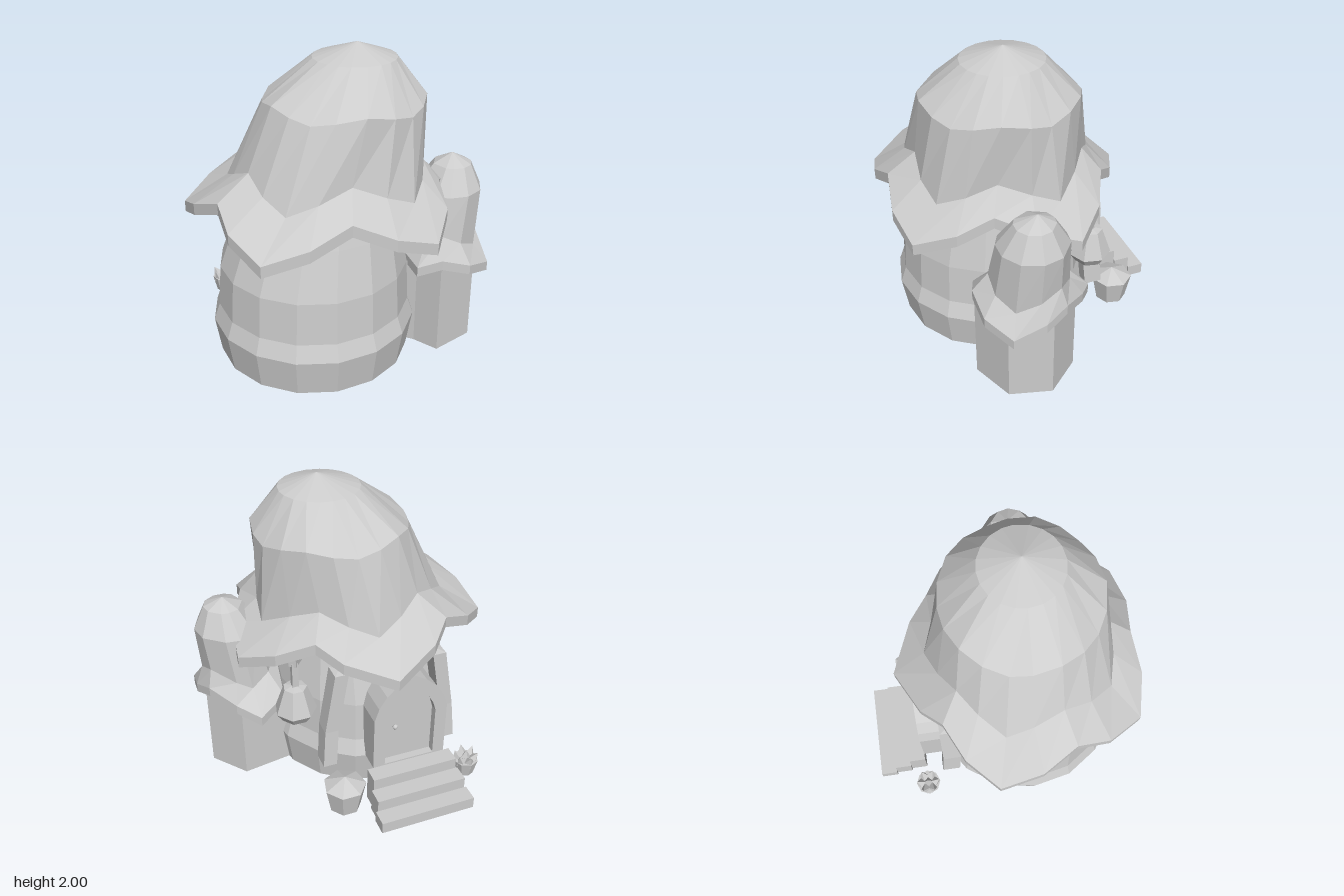
import * as THREE from 'three';

const clay = new THREE.MeshStandardMaterial({ color: 0xcccccc, flatShading: true, side: THREE.DoubleSide });
clay.name = 'pale grey';

// Skin between rings of [x, y, z] points (counter-clockwise from above, listed along the surface).
function loft(rings) {
  const pos = [];
  for (let r = 0; r < rings.length - 1; r++) {
    const A = rings[r], B = rings[r + 1], n = Math.max(A.length, B.length);
    for (let i = 0; i < n; i++) {
      const a = A[i % A.length], b = A[(i + 1) % A.length];
      const c = B[(i + 1) % B.length], d = B[i % B.length];
      if (A.length > 1) pos.push(...a, ...b, ...c);
      if (B.length > 1) pos.push(...a, ...c, ...d);
    }
  }
  const g = new THREE.BufferGeometry();
  g.setAttribute('position', new THREE.Float32BufferAttribute(pos, 3));
  g.computeVertexNormals();
  return g;
}

// Full ring from a half ring [dx, z, y], mirrored about x = cx.
function mirrored(half, cx) {
  const side = half.map(([x, z, y]) => [cx + x, y, z]);
  const other = half.slice(1, -1).reverse().map(([x, z, y]) => [cx - x, y, z]);
  return [...side, ...other];
}

// Circle through the given angles, measured from +z towards +x.
const circle = (angles, cx, cz, r, y) =>
  angles.map(a => [cx + r * Math.sin(a), y, cz + r * Math.cos(a)]);
const anglesOf = (ring, ox, oz) => ring.map(([x, , z]) => Math.atan2(x - ox, z - oz));

const raise = (ring, dy) => ring.map(([x, y, z]) => [x, y + dy, z]);
const shrink = (ring, cx, cz, s) => ring.map(([x, y, z]) => [cx + (x - cx) * s, y, cz + (z - cz) * s]);

// Rectangle ring, counter-clockwise from above.
const rect = (x, y, z, w, d) => [[-1, 1], [1, 1], [1, -1], [-1, -1]]
  .map(([i, j]) => [x + i * w / 2, y, z + j * d / 2]);

// Pointed arch outline standing on y = y0.
function arch(ShapeType, w, spring, h, y0 = 0) {
  const s = new ShapeType();
  s.moveTo(-w, y0);
  s.lineTo(w, y0);
  s.lineTo(w, spring);
  s.quadraticCurveTo(w * 0.85, spring + (h - spring) * 0.65, 0, h);
  s.quadraticCurveTo(-w * 0.85, spring + (h - spring) * 0.65, -w, spring);
  return s;
}

export function createModel() {
  const model = new THREE.Group();
  const add = (name, geometry, x = 0, y = 0, z = 0, parent = model) => {
    const m = new THREE.Mesh(geometry, clay);
    m.name = name;
    m.position.set(x, y, z);
    parent.add(m);
    return m;
  };
  const lathe = (pts, sides) => new THREE.LatheGeometry(pts.map(p => new THREE.Vector2(...p)), sides);

  // Round house wall with a bulging plinth, open below
  const sixteen = Array.from({ length: 16 }, (_, i) => i * Math.PI / 8);
  add('houseWall', loft([[-0.183, 0.617, 0], [-0.183, 0.655, 0.24], [-0.183, 0.617, 0.35],
    [-0.18, 0.6, 0.62], [-0.15, 0.52, 0.92], [-0.13, 0.46, 1.12]]
    .map(([cx, r, y]) => circle(sixteen, cx, 0.178, r, y))));

  // Main roof: wavy eave with a flatter soffit, skirt and leaning dome
  const eave = mirrored([[0, 0.86, 1.09], [0.25, 0.9, 0.985], [0.515, 0.85, 0.9], [0.655, 0.62, 1.0],
    [0.68, 0.4, 1.09], [0.8, 0.18, 1.0], [0.835, -0.09, 0.9], [0.65, -0.28, 0.99],
    [0.43, -0.39, 1.09], [0.3, -0.52, 1.0], [0, -0.665, 0.9]], -0.115);
  const soffit = shrink(eave, -0.15, 0.17, 0.7).map(([x, y, z]) => [x, 0.9 + (y - 0.9) * 0.65, z]);
  const waist = mirrored([[0, 0.69, 1.31], [0.2, 0.71, 1.23], [0.38, 0.67, 1.16], [0.48, 0.52, 1.23],
    [0.53, 0.34, 1.31], [0.59, 0.15, 1.23], [0.61, -0.02, 1.16], [0.47, -0.17, 1.25],
    [0.32, -0.28, 1.31], [0.17, -0.38, 1.23], [0, -0.45, 1.16]], -0.07);
  const roofAngles = anglesOf(waist, -0.07, 0.165);
  const shoulder = circle(roofAngles, 0.02, 0.168, 0.495, 1.67)
    .map(([x, y, z], i) => [x, y + (waist[i][1] - 1.23) * 0.35, z]);
  add('mainRoof', loft([soffit, eave, raise(eave, 0.073), waist, shoulder,
    circle(roofAngles, 0.085, 0.17, 0.255, 1.915), [[0.1, 2, 0.17]]]));

  // Side tower wall, open below
  const plan = [[0.56, 0.54], [0.83, 0.42], [0.9, 0.155], [0.72, -0.06], [0.35, 0], [0.22, 0.22], [0.45, 0.4]];
  const level = y => plan.map(([x, z]) => [x, y, z]);
  add('towerWall', loft([level(0), level(0.59)]));

  // Side tower roof
  const towerEave = [[0.415, 0.55, 0.5], [0.56, 0.605, 0.55], [0.755, 0.54, 0.54], [0.93, 0.478, 0.42],
    [0.945, 0.55, 0.22], [0.89, 0.605, 0.07], [0.755, 0.54, -0.09], [0.62, 0.478, -0.19],
    [0.44, 0.55, -0.1], [0.38, 0.58, 0.2]];
  const towerAngles = anglesOf(towerEave, 0.66, 0.2);
  const towerWaist = circle(towerAngles, 0.65, 0.22, 0.245, 0.185)
    .map(([x, y, z], i) => [x, towerEave[i][1] + y, z]);
  add('towerRoof', loft([shrink(towerEave, 0.64, 0.2, 0.7), towerEave, raise(towerEave, 0.063),
    towerWaist, circle(towerAngles, 0.7, 0.215, 0.22, 1.035),
    circle(towerAngles, 0.725, 0.215, 0.125, 1.19), [[0.73, 1.25, 0.2]]]));

  // Back entrance: pointed frame, door and knob
  const entrance = new THREE.Group();
  entrance.name = 'entrance';
  entrance.position.set(-0.25, 0.24, -0.57);
  model.add(entrance);
  const frame = arch(THREE.Shape, 0.25, 0.38, 0.68);
  frame.holes.push(arch(THREE.Path, 0.17, 0.36, 0.58, 0.01));
  const extrude = (shape, depth) =>
    new THREE.ExtrudeGeometry(shape, { depth, bevelEnabled: false, curveSegments: 4 });
  add('doorFrame', extrude(frame, 0.24), 0, 0, 0, entrance);
  add('door', extrude(arch(THREE.Shape, 0.18, 0.36, 0.59), 0.03), 0, 0, 0.05, entrance);
  add('doorKnob', new THREE.IcosahedronGeometry(0.018, 1), 0.09, 0.27, 0.035, entrance);

  // Three steps, hollow below
  for (let i = 0; i < 3; i++) {
    const box = y => rect(-0.25, y, -0.845 + 0.11 * i, 0.64 - 0.03 * i, 0.11);
    const h = 0.08 * (i + 1);
    add('step', loft([box(0), box(h), [[-0.25, h, -0.845 + 0.11 * i]]]));
  }

  // Bent timbers leaning against the wall either side of the door
  for (const s of [-1, 1]) {
    const at = (d, y, z) => rect(-0.17 + s * d, y, z, 0.09, 0.12);
    const end = (d, y, z) => [[-0.17 + s * d, y, z]];
    add('timberPost', loft([end(0.42, 0.24, -0.39), at(0.42, 0.24, -0.39), at(0.4, 0.5, -0.37),
      at(0.33, 0.92, -0.365), end(0.33, 0.93, -0.365)]));
  }

  // Hanging lantern with a sloping cover
  const lantern = new THREE.Group();
  lantern.name = 'lantern';
  lantern.position.set(0.42, 0, -0.285);
  model.add(lantern);
  add('lanternBody', lathe([[0, 0.58], [0.095, 0.58], [0.135, 0.64], [0.075, 0.81], [0, 0.825]], 7),
    0, 0, 0, lantern);
  add('lanternHanger', new THREE.BoxGeometry(0.04, 0.18, 0.04), 0, 0.9, 0, lantern);
  const bracket = add('lanternBracket', new THREE.BoxGeometry(0.05, 0.06, 0.3), -0.08, 1.0, 0.1, lantern);
  bracket.rotation.y = -0.7;

  // Covered tub by the steps
  add('tub', lathe([[0.105, 0], [0.14, 0.175], [0, 0.24]], 7), 0.2, 0, -0.58);

  // Small pot with a spiky plant
  const pot = new THREE.Group();
  pot.name = 'pottedPlant';
  pot.position.set(-0.68, 0, -0.57);
  model.add(pot);
  add('pot', lathe([[0, 0], [0.06, 0], [0.085, 0.11], [0, 0.11]], 8), 0, 0, 0, pot);
  for (let i = 0; i < 6; i++) {
    const a = i * Math.PI / 3;
    const leaf = add('leaf', new THREE.ConeGeometry(0.045, 0.08, 4), Math.sin(a) * 0.06, 0.13, Math.cos(a) * 0.06, pot);
    leaf.rotation.set(0.5 * Math.cos(a), 0, -0.5 * Math.sin(a));
  }
  add('leaf', new THREE.ConeGeometry(0.045, 0.08, 4), 0, 0.14, 0, pot);

  return model;
}
